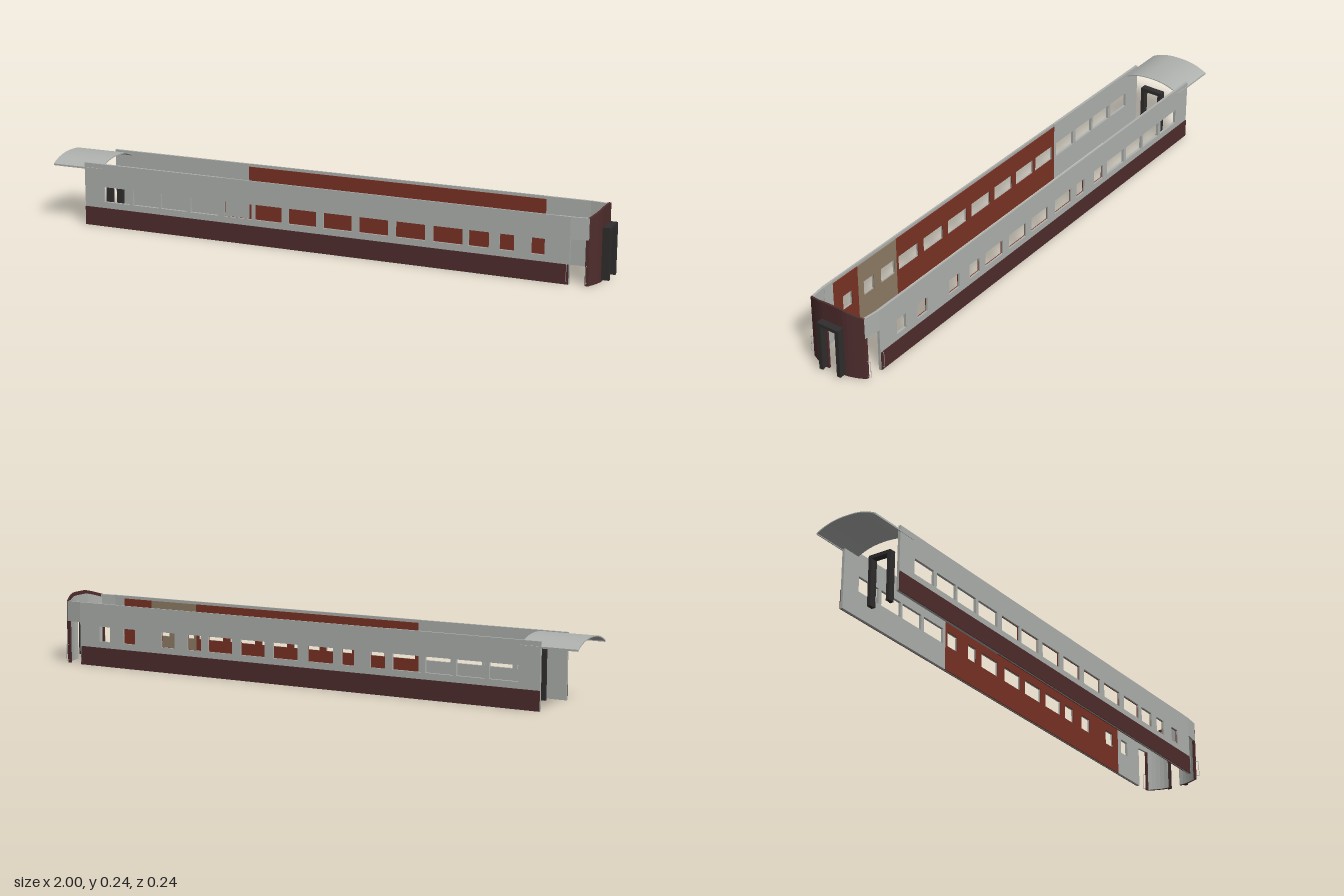
import * as THREE from 'three';

const mat = (name, color) => {
  const m = new THREE.MeshStandardMaterial({ color });
  m.name = name;
  return m;
};

export function createModel() {
  const grey = mat('body grey', 0xaeb1ae);
  const maroon = mat('dark maroon', 0x4f2d2d);
  const red = mat('interior red', 0x7a3224);
  const tan = mat('interior tan', 0x8e7c64);
  const black = mat('frame black', 0x302d2d);

  const car = new THREE.Group();
  car.name = 'railwayCarShell';
  const add = (name, geometry, material, parent = car) => {
    const mesh = new THREE.Mesh(geometry, material);
    mesh.name = name;
    parent.add(mesh);
    return mesh;
  };
  const box = (name, material, x0, x1, y0, y1, z0, z1, parent = car) =>
    add(name, new THREE.BoxGeometry(x1 - x0, y1 - y0, z1 - z0)
      .translate((x0 + x1) / 2, (y0 + y1) / 2, (z0 + z1) / 2), material, parent);

  // Window spans along x for each side
  const frontWindows = [[-0.8, -0.7], [-0.685, -0.585], [-0.575, -0.475], [-0.46, -0.355],
    [-0.33, -0.228], [-0.215, -0.115], [-0.09, 0.012], [0.037, 0.14], [0.167, 0.27],
    [0.297, 0.4], [0.428, 0.53], [0.55, 0.62], [0.655, 0.705], [0.762, 0.807]];
  const backWindows = [[-0.8, -0.7], [-0.685, -0.585], [-0.575, -0.475], [-0.46, -0.355],
    [-0.33, -0.275], [-0.215, -0.168], [-0.136, -0.04], [0, 0.095], [0.127, 0.223],
    [0.256, 0.352], [0.382, 0.436], [0.49, 0.545], [0.655, 0.705], [0.762, 0.807]];
  const sill = 0.088, head = 0.141, wallTop = 0.222;

  // Flat layer of wall with the windows cut out, between two distances from the centre
  const layer = (name, material, side, windows, x0, x1, y0, y1, zIn, zOut) => {
    const shape = new THREE.Shape([[x0, y0], [x1, y0], [x1, y1], [x0, y1]]
      .map(p => new THREE.Vector2(...p)));
    for (const [a, b] of windows) {
      if (a <= x0 || b >= x1 || y1 < head) continue;
      shape.holes.push(new THREE.Path([[a, sill], [a, head], [b, head], [b, sill]]
        .map(p => new THREE.Vector2(...p))));
    }
    const g = new THREE.ExtrudeGeometry(shape, { depth: zOut - zIn, bevelEnabled: false });
    g.translate(0, 0, side > 0 ? zIn : -zOut);
    return add(name, g, material);
  };

  const sides = [
    { side: 1, label: 'front', windows: frontWindows,
      lining: [[-0.875, -0.342, grey], [-0.342, 0.54, red], [0.54, 0.732, tan],
        [0.732, 0.85, red], [0.85, 0.89, grey]] },
    { side: -1, label: 'back', windows: backWindows,
      lining: [[-0.875, -0.342, grey], [-0.342, 0.74, red], [0.74, 0.89, grey]] },
  ];

  for (const { side, label, windows, lining } of sides) {
    // Outer wall, lower band and coloured inner lining
    layer(label + 'Wall', grey, side, windows, -0.875, 0.89, 0, wallTop, 0.106, 0.112);
    layer(label + 'LowerBand', maroon, side, [], -0.875, 0.888, 0, 0.066, 0.112, 0.114);
    lining.forEach(([a, b, m], i) =>
      layer(label + 'Lining' + (i + 1), m, side, windows, a, b, 0, m === grey ? wallTop : 0.212, 0.103, 0.106));

    // Doorway header and corner post, tapering inward toward the end
    const taper = mesh => {
      const p = mesh.geometry.attributes.position;
      for (let i = 0; i < p.count; i++)
        p.setZ(i, p.getZ(i) - side * 0.007 * Math.max(0, (p.getX(i) - 0.89) / 0.06));
      mesh.geometry.computeVertexNormals();
    };
    const z0 = side > 0 ? 0.104 : -0.112, z1 = z0 + 0.008;
    taper(box(label + 'DoorHeader', grey, 0.89, 0.95, 0.15, wallTop, z0, z1));
    taper(box(label + 'DoorPost', maroon, 0.94, 0.951, 0, 0.15, z0, z1));

    // Grab rails on both sides of the doorway
    for (const x of [0.882, 0.946]) {
      const zw = x > 0.9 ? 0.106 : 0.113;
      const path = new THREE.CurvePath();
      const pts = [[0.01, zw], [0.01, 0.119], [0.066, 0.119], [0.066, zw]]
        .map(([y, z]) => new THREE.Vector3(x, y, side * z));
      for (let i = 0; i < 3; i++) path.add(new THREE.LineCurve3(pts[i], pts[i + 1]));
      add(label + 'GrabRail', new THREE.TubeGeometry(path, 24, 0.0009, 5), grey);
    }
  }

  // Bowed end wall made of upright slices that leave a doorway in the middle
  const bow = z => 0.968 - 0.024 * Math.pow(Math.max(0, Math.abs(z) - 0.035) / 0.07, 1.6);
  const crown = z => 0.243 - 0.021 * Math.pow(Math.max(0, Math.abs(z) - 0.03) / 0.075, 1.3);
  const cuts = [-0.105, -0.099, -0.085, -0.07, -0.055, -0.04, -0.024,
    0.024, 0.04, 0.055, 0.07, 0.085, 0.099, 0.105];
  const endWall = (name, material, xOff, thick, drop) => {
    const group = new THREE.Group();
    group.name = name;
    for (let i = 0; i < cuts.length - 1; i++) {
      const a = cuts[i], b = cuts[i + 1];
      const bottom = a < 0 && b > 0 ? 0.16 : 0;
      const g = new THREE.BoxGeometry(1, 1, 1);
      const p = g.attributes.position;
      for (let k = 0; k < p.count; k++) {
        const z = p.getZ(k) > 0 ? b : a;
        p.setXYZ(k, bow(z) + xOff + (p.getX(k) > 0 ? thick : 0),
          p.getY(k) > 0 ? crown(z) - drop : bottom, z);
      }
      g.computeVertexNormals();
      add(name + 'Slice', g, material, group);
    }
    car.add(group);
  };
  endWall('endWall', maroon, 0, 0.007, 0);
  endWall('endWallLining', grey, -0.002, 0.002, 0.012);

  // Door frames: one on the outer end, one inside the open end
  const doorFrame = (name, x0, x1) => {
    const group = new THREE.Group();
    group.name = name;
    for (const s of [-1, 1])
      box(name + 'Post', black, x0, x1, 0.007, 0.18, s * 0.036 - 0.006, s * 0.036 + 0.006, group);
    box(name + 'Lintel', black, x0, x1, 0.168, 0.18, -0.03, 0.03, group);
    // Raised rim
    for (const s of [-1, 1])
      box(name + 'Rim', black, x1 - 0.006, x1, 0.007, 0.173, s * 0.032 - 0.004, s * 0.032 + 0.004, group);
    car.add(group);
  };
  doorFrame('gangwayFrame', 0.972, 1.0);
  doorFrame('innerDoorFrame', -0.832, -0.808);

  // Short arched roof over the open end
  const arch = new THREE.Shape();
  const N = 20, curve = (half, y, rise) => Array.from({ length: N + 1 }, (_, i) => {
    const t = -1 + (2 * i) / N;
    return [half * t, y + rise * (1 - Math.pow(Math.abs(t), 2.4))];
  });
  const outer = [[-0.113, 0.2], ...curve(0.113, 0.206, 0.026), [0.113, 0.2]];
  const inner = [[-0.11, 0.2], ...curve(0.11, 0.203, 0.026), [0.11, 0.2]].reverse();
  [...outer, ...inner].forEach(([z, y], i) => (i ? arch.lineTo(z, y) : arch.moveTo(z, y)));
  const roof = new THREE.ExtrudeGeometry(arch, { depth: 0.193, bevelEnabled: false });
  roof.rotateY(Math.PI / 2).translate(-1, 0, 0);
  add('endRoof', roof, grey);

  return car;
}
